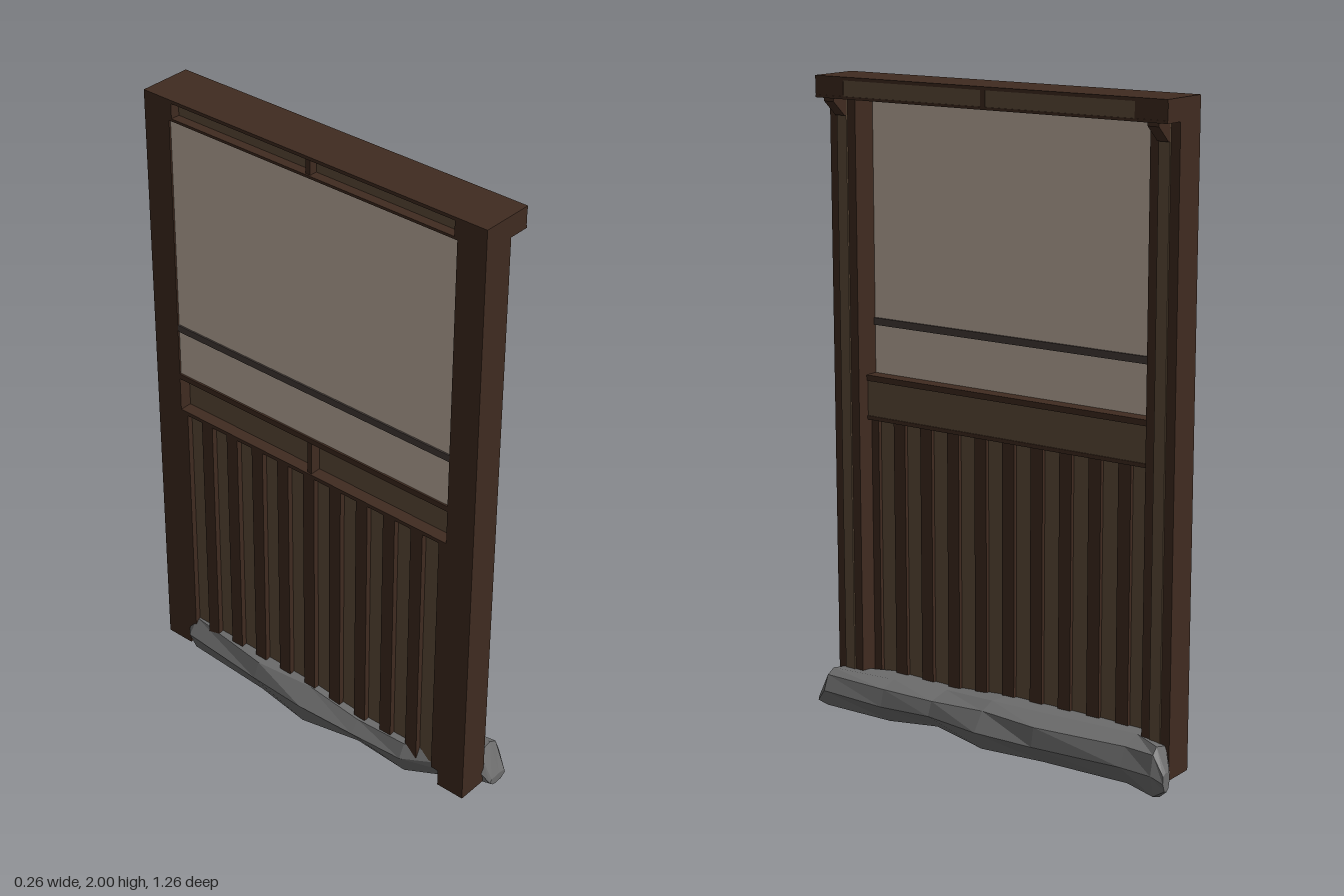
import * as THREE from 'three';

const mat = (color, extra = {}) => new THREE.MeshStandardMaterial({ color, ...extra });

export function createModel() {
  const model = new THREE.Group();
  model.name = 'screenWallPanel';
  const dark = mat(0x402b20), light = mat(0x5f4c39), paper = mat(0xc4b4a4);
  const bar = mat(0x453c38), rock = mat(0x6c6c6c, { flatShading: true });
  const MID = -0.005; // middle of the woodwork along z

  // Box given by its limits on each axis
  function box(name, material, x0, x1, y0, y1, z0, z1, parent = model) {
    const mesh = new THREE.Mesh(new THREE.BoxGeometry(x1 - x0, y1 - y0, z1 - z0), material);
    mesh.position.set((x0 + x1) / 2, (y0 + y1) / 2, (z0 + z1) / 2);
    mesh.name = name;
    parent.add(mesh);
    return mesh;
  }

  // Posts with a pale facing strip and a bracket under the header
  const bracketShape = new THREE.Shape([[0.02, 1.94], [0.02, 1.88], [0.035, 1.88], [0.085, 1.925], [0.085, 1.94]]
    .map(([x, y]) => new THREE.Vector2(x, y)));
  for (const [side, s] of [['front', 1], ['back', -1]]) {
    const post = new THREE.Group();
    post.name = side + 'Post';
    model.add(post);
    const c = MID + s * 0.5625;
    box('postBody', dark, -0.08, 0.023, 0.045, 1.95, c - 0.0475, c + 0.0475, post);
    box('postFacing', light, 0.02, 0.028, 0.05, 1.94, c - 0.018, c + 0.018, post);
    const bracket = new THREE.Mesh(
      new THREE.ExtrudeGeometry(bracketShape, { depth: 0.036, bevelEnabled: false }), dark);
    bracket.position.z = c - 0.018;
    bracket.name = 'bracket';
    post.add(bracket);
  }

  // Header: slabs above and below a pale board, end blocks and a centre divider
  const header = new THREE.Group();
  header.name = 'header';
  model.add(header);
  box('headerTop', dark, -0.08, 0.09, 1.99, 2, -0.615, 0.605, header);
  box('headerUnderside', dark, -0.08, 0.09, 1.935, 1.943, -0.615, 0.605, header);
  box('headerBoard', light, -0.05, 0.087, 1.94, 1.995, -0.52, 0.51, header);
  box('headerDivider', dark, -0.075, 0.09, 1.94, 1.995, MID - 0.008, MID + 0.008, header);
  for (const s of [-1, 1]) {
    const c = MID + s * 0.5575;
    box('headerEnd', dark, -0.08, 0.088, 1.94, 1.995, c - 0.0525, c + 0.0525, header);
  }

  // Paper window and its thin crossbar
  box('paperPane', paper, -0.074, -0.06, 1.07, 1.94, -0.52, 0.51);
  box('paneCrossbar', bar, -0.079, -0.054, 1.238, 1.26, -0.52, 0.51);

  // Middle rail
  box('railSill', dark, -0.08, -0.015, 1.07, 1.088, -0.52, 0.51);
  box('railBoard', light, -0.04, -0.02, 0.955, 1.075, -0.52, 0.51);
  box('railLedge', dark, -0.08, -0.017, 0.948, 0.96, -0.52, 0.51);
  box('railDivider', dark, -0.075, -0.035, 0.955, 1.075, MID - 0.008, MID + 0.008);

  // Lower panel with upright battens
  box('lowerPanel', light, -0.062, -0.05, 0.1, 0.955, -0.52, 0.51);
  for (let i = 0; i <= 10; i++) {
    const z = MID + (i - 5) * 0.102;
    box('batten', dark, -0.08, -0.037, 0.1, 0.955, z - 0.0215, z + 0.0215);
  }

  // Long rough foundation rock, lofted through sections [z, x0, x1, y0, y1]
  const sections = [
    [0.63, 0.025, 0.1, 0.03, 0.06], [0.585, 0.0, 0.125, 0.03, 0.155],
    [0.38, -0.105, 0.1, 0.005, 0.145], [0.2, -0.12, 0.095, 0.025, 0.14],
    [0, -0.135, 0.13, 0.012, 0.16], [-0.2, -0.125, 0.12, 0.006, 0.16],
    [-0.5, -0.105, 0.105, 0.012, 0.16], [-0.6, 0.0, 0.1, 0, 0.16],
    [-0.635, 0.05, 0.088, 0.03, 0.09],
  ];
  const outline = [[0, 0.6], [0.12, 0.15], [0.45, 0], [0.8, 0.08], [1, 0.5], [0.9, 0.88], [0.62, 1], [0.15, 0.92]];
  const n = outline.length, verts = [], idx = [];
  sections.forEach(([z, x0, x1, y0, y1], i) => {
    outline.forEach(([u, v], j) => {
      const wob = u > 0 && u < 1 ? 0.06 * Math.sin(i * 2.3 + j * 1.7) : 0;
      verts.push(x0 + (x1 - x0) * (u + wob), y0 + (y1 - y0) * v, z);
      if (i === 0) return;
      const k = (j + 1) % n, a = (i - 1) * n + j, b = (i - 1) * n + k, c = i * n + j, d = i * n + k;
      idx.push(a, c, b, b, c, d);
    });
  });
  const last = (sections.length - 1) * n;
  for (let j = 1; j < n - 1; j++) idx.push(0, j, j + 1, last, last + j + 1, last + j);
  const geo = new THREE.BufferGeometry();
  geo.setAttribute('position', new THREE.Float32BufferAttribute(verts, 3));
  geo.setIndex(idx);
  const flat = geo.toNonIndexed();
  flat.computeVertexNormals();
  const stone = new THREE.Mesh(flat, rock);
  stone.name = 'foundationRock';
  model.add(stone);

  return model;
}
